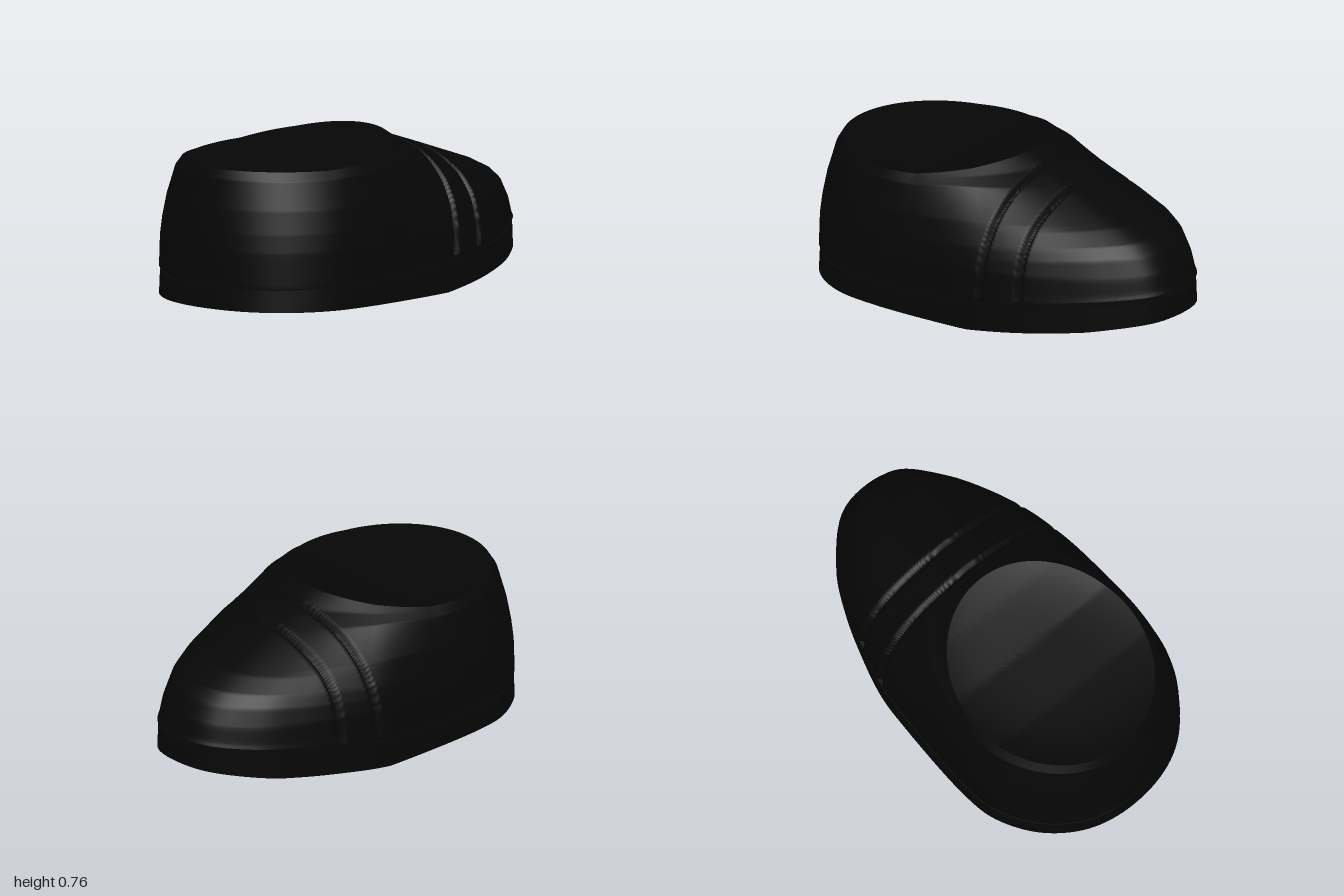
import * as THREE from 'three';
import { mergeGeometries } from 'three/addons/utils/BufferGeometryUtils.js';

const SEG = 360;

// piecewise-linear lookup through [input, output] pairs in rising order
function lookup(pts, v) {
  if (v <= pts[0][0]) return pts[0][1];
  for (let i = 1; i < pts.length; i++) {
    if (v <= pts[i][0]) {
      const [a, p] = pts[i - 1], [b, q] = pts[i];
      return p + (q - p) * (v - a) / (b - a);
    }
  }
  return pts[pts.length - 1][1];
}

// plan outline of the shoe [x, z], toe at +x
const plan = [
  [1, 0], [0.965, 0.16], [0.8, 0.315], [0.6, 0.43], [0.4, 0.51], [0.2, 0.555], [0, 0.575],
  [-0.4, 0.582], [-0.63, 0.55], [-0.8, 0.46], [-0.91, 0.34], [-0.975, 0.19], [-1, 0],
  [-0.98, -0.17], [-0.92, -0.31], [-0.8, -0.45], [-0.62, -0.555], [-0.45, -0.585], [0, -0.585],
  [0.2, -0.57], [0.4, -0.52], [0.6, -0.45], [0.8, -0.345], [0.965, -0.17],
];
const outline = new THREE.CatmullRomCurve3(plan.map(([x, z]) => new THREE.Vector3(x, 0, z)), true)
  .getPoints(SEG);

// height curves along the length
const soleBottom = x => lookup([[0.14, 0], [0.7, 0.06], [1, 0.11]], x);
const soleTop = x => lookup([[-1, 0.105], [-0.2, 0.12], [0.3, 0.15], [1, 0.22]], x);
const upperBase = x => soleTop(x) + 0.025;
const collarHeight = x => lookup([[-0.92, 0.665], [-0.55, 0.66], [-0.25, 0.675], [0, 0.72],
  [0.14, 0.757]], x);

// wall profiles from base (0) to collar (1): steep side and heel, long sloping toe
const sideRise = [[0, 0], [0.04, 0.28], [0.14, 0.45], [0.34, 0.66], [0.72, 0.92], [1, 1]];
const toeRise = [[0, 0], [0.012, 0.04], [0.035, 0.18], [0.09, 0.355], [0.16, 0.455], [0.29, 0.56],
  [0.69, 0.79], [0.89, 0.9], [1, 1]];

// oval collar, found on the ray from its middle towards an outline point
const MID = -0.39;
function collar(p) {
  const dx = p.x - MID, r = 1 / Math.hypot(dx / 0.53, p.z / 0.475);
  return { x: MID + dx * r, z: p.z * r };
}

// skin over rings; each ring maps an outline point to a surface point
function loft(rings) {
  const pos = [], index = [], row = SEG + 1;
  rings.forEach(ring => outline.forEach(p => pos.push(...ring(p))));
  for (let i = 0; i < rings.length - 1; i++) {
    for (let j = 0; j < SEG; j++) {
      const a = i * row + j, b = a + row;
      index.push(a, b, a + 1, a + 1, b, b + 1);
    }
  }
  const g = new THREE.BufferGeometry();
  g.setAttribute('position', new THREE.Float32BufferAttribute(pos, 3));
  g.setIndex(index);
  g.computeVertexNormals();
  return g;
}

const ringAt = (f, height) => p => [p.x * f, height(p.x * f), p.z * f];

// body wall ring with two pressed seams across the instep
function wallRing(s) {
  return p => {
    const q = collar(p);
    const slope = THREE.MathUtils.smoothstep(Math.hypot(q.x - p.x, q.z - p.z), 0.1, 0.8);
    const rise = THREE.MathUtils.lerp(lookup(sideRise, s), lookup(toeRise, s), slope);
    const base = upperBase(p.x);
    const x = p.x + (q.x - p.x) * s, z = p.z + (q.z - p.z) * s;
    const y = base + (collarHeight(q.x) - base) * rise;
    const press = at => 0.03 * Math.max(0, 1 - Math.abs(x - at) / 0.018);
    const d = press(0.2 + 0.04 * y) + press(0.405);
    const up = Math.max(0, y - 0.15), len = Math.hypot(up, z) || 1;
    return [x, y - d * up / len, z - d * z / len];
  };
}

// ring of the closed top, sagging slightly inside the collar
function topRing(f) {
  return p => {
    const q = collar(p), x = MID + (q.x - MID) * f;
    return [x, collarHeight(x) - 0.02 * (1 - f ** 4), q.z * f];
  };
}

export function createModel() {
  const group = new THREE.Group();
  const black = new THREE.MeshStandardMaterial({ color: 0x060606 });
  black.name = 'black';
  const add = (name, geometry) => {
    const mesh = new THREE.Mesh(geometry, black);
    mesh.name = name;
    group.add(mesh);
  };

  // sole: underside, edge and the ledge under the body
  add('sole', mergeGeometries([
    loft([0, 0.2, 0.4, 0.6, 0.8, 1].map(f => ringAt(f, soleBottom))),
    loft([ringAt(1, soleBottom), ringAt(0.995, soleTop)]),
    loft([ringAt(0.995, soleTop), ringAt(0.95, soleTop)]),
  ]));

  // recessed welt between sole and body
  add('welt', mergeGeometries([
    loft([ringAt(0.965, soleTop), ringAt(0.965, upperBase)]),
    loft([ringAt(0.965, upperBase), ringAt(1, upperBase)]),
  ]));

  // body wall from the bottom edge up to the collar
  const steps = Array.from({ length: 91 }, (_, i) => (i / 90) ** 1.3);
  add('upper', loft(steps.map(wallRing)));

  // closed top inside the collar
  add('top', loft(Array.from({ length: 21 }, (_, i) => topRing(1 - i / 20))));

  return group;
}
